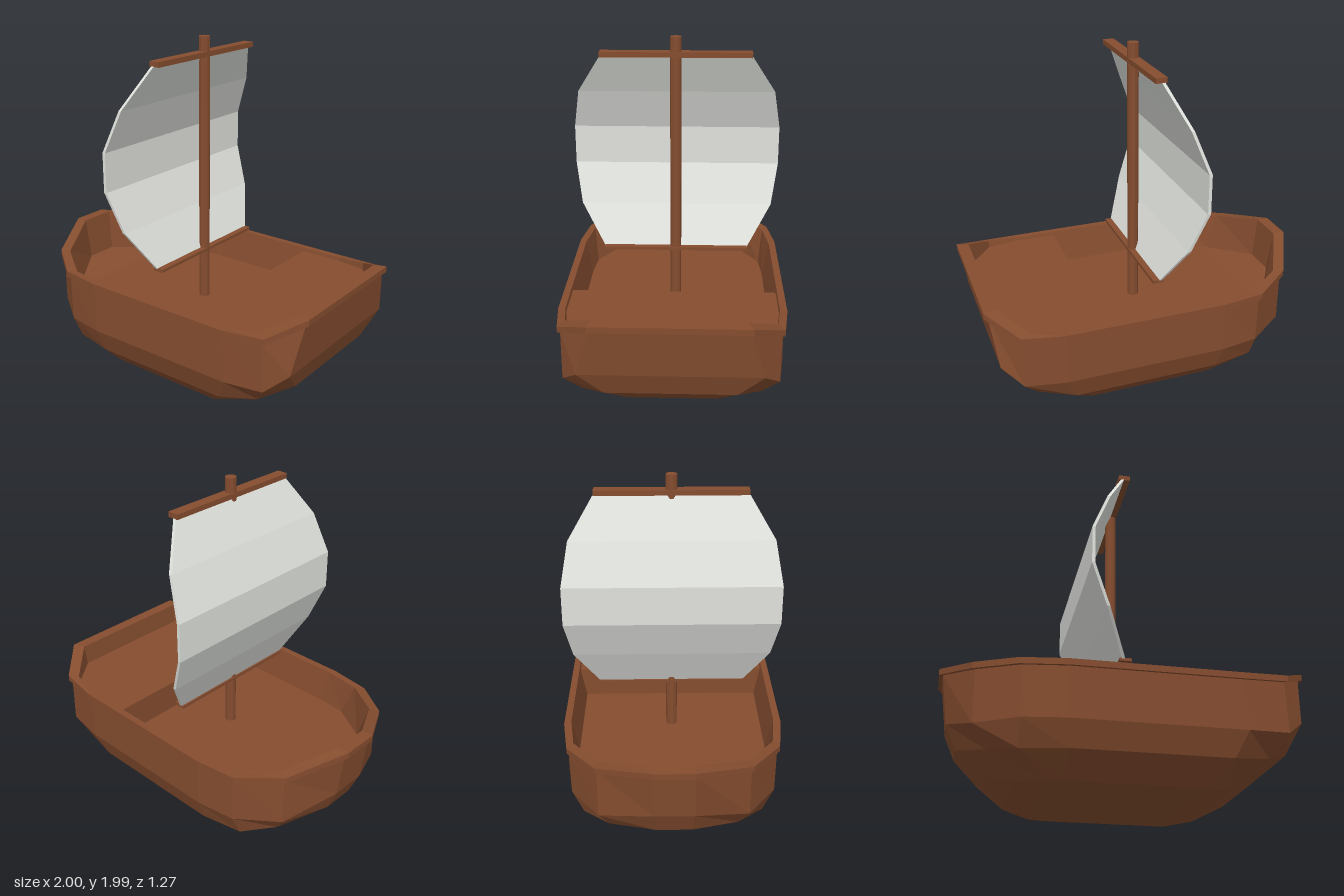
import * as THREE from 'three';

// Half outlines [x, y, z], running from the stern corner to the bow corner
const keel = [[.72, .09, .25], [.56, .02, .36], [.4, 0, .44], [-.33, 0, .44], [-.42, 0, .42], [-.58, .02, .3], [-.7, .09, .09]];
const bilge = [[.89, .23, .36], [.74, .16, .5], [.53, .13, .57], [-.33, .13, .57], [-.58, .13, .52], [-.73, .16, .37], [-.88, .23, .1]];
const side = [[.94, .37, .5], [.83, .28, .59], [.6, .27, .62], [-.35, .27, .62], [-.58, .27, .585], [-.81, .28, .42], [-.94, .37, .11]];
const rimOuter = [[1, .69, .43], [.84, .6, .605], [.6, .585, .635], [-.35, .585, .635], [-.6, .585, .6], [-.83, .61, .43], [-1, .69, .11]];
const rimInner = [[.93, .69, .4], [.78, .605, .57], [.59, .585, .595], [-.32, .585, .595], [-.55, .585, .565], [-.77, .61, .41], [-.93, .69, .11]];
const floorLine = [[.9, .38, .38], [.75, .38, .55], [.57, .38, .555], [-.3, .38, .555], [-.48, .38, .54], [-.7, .38, .41], [-.9, .44, .1]];
const rimLower = rimOuter.map(([x, y, z]) => [x, y - .035, z]);
const sheer = rimLower.map(([x, y, z]) => [x * .978, y, z * .978]);

const mirror = ([x, y, z]) => [x, y, -z];
const fullRing = half => [...half, ...half.map(mirror).reverse()];

// Unshared triangles give flat facets
function facets(points) {
  const g = new THREE.BufferGeometry();
  g.setAttribute('position', new THREE.Float32BufferAttribute(points.flat(), 3));
  g.computeVertexNormals();
  return g;
}

// Joins consecutive outlines into a band of faces
function loft(halves) {
  const rings = halves.map(fullRing), tris = [];
  for (let r = 0; r < rings.length - 1; r++) {
    const a = rings[r], b = rings[r + 1];
    for (let i = 0; i < a.length; i++) {
      const j = (i + 1) % a.length;
      tris.push(a[i], b[i], b[j], a[i], b[j], a[j]);
    }
  }
  return facets(tris);
}

// Fills an outline with strips running across the boat
function cap(half, up) {
  const tris = [];
  for (let i = 0; i < half.length - 1; i++) {
    const p = half[i], q = half[i + 1], pm = mirror(p), qm = mirror(q);
    if (up) tris.push(p, pm, qm, p, qm, q);
    else tris.push(p, qm, pm, p, q, qm);
  }
  return facets(tris);
}

export function createModel() {
  const boat = new THREE.Group();
  boat.name = 'sailingBoat';
  const wood = new THREE.MeshStandardMaterial({ color: 0x854d2f });
  wood.name = 'brownWood';
  const canvas = new THREE.MeshStandardMaterial({ color: 0xe0e2dd });
  canvas.name = 'paleCanvas';

  const add = (name, geometry, material, x = 0, y = 0, z = 0) => {
    const mesh = new THREE.Mesh(geometry, material);
    mesh.name = name;
    mesh.position.set(x, y, z);
    boat.add(mesh);
    return mesh;
  };

  // Hull shell, rim and inside
  add('hullSides', loft([keel, bilge, side, sheer]), wood);
  add('hullBottom', cap(keel, false), wood);
  add('rim', loft([sheer, rimLower, rimOuter, rimInner]), wood);
  add('innerWalls', loft([rimInner, floorLine]), wood);
  add('floor', cap(floorLine, true), wood);

  // Raised stern deck ending in a step
  const outline = [[.34, .59], [.59, .59], [.78, .565], [.925, .4]];
  const deckShape = new THREE.Shape(
    [...outline, ...outline.map(([x, z]) => [x, -z]).reverse()].map(([x, z]) => new THREE.Vector2(x, z)));
  const deck = new THREE.ExtrudeGeometry(deckShape, { depth: .19, bevelEnabled: false });
  deck.rotateX(-Math.PI / 2);
  add('sternDeck', deck, wood, 0, .375, 0);

  // Mast and the two cross spars
  const mast = new THREE.CylinderGeometry(.033, .033, 1.61, 10).toNonIndexed();
  mast.computeVertexNormals();
  add('mast', mast, wood, -.012, 1.18, 0);
  add('upperSpar', new THREE.BoxGeometry(.066, .03, .87), wood, -.012, 1.885, 0);
  add('lowerSpar', new THREE.BoxGeometry(.066, .018, .87), wood, -.012, .694, 0);

  // Billowing sail: rows of [x, y, half width]
  const rows = [[-.02, .69, .43], [-.135, .935, .58], [-.227, 1.17, .622], [-.227, 1.4, .622], [-.135, 1.64, .58], [-.02, 1.88, .43]];
  const sail = new THREE.BoxGeometry(.018, 5, 2, 1, 5, 2).toNonIndexed();
  const pos = sail.attributes.position;
  for (let i = 0; i < pos.count; i++) {
    const [x, y, w] = rows[Math.round(pos.getY(i) + 2.5)];
    pos.setXYZ(i, pos.getX(i) + x, y, pos.getZ(i) * w);
  }
  sail.computeVertexNormals();
  add('sail', sail, canvas);

  return boat;
}
